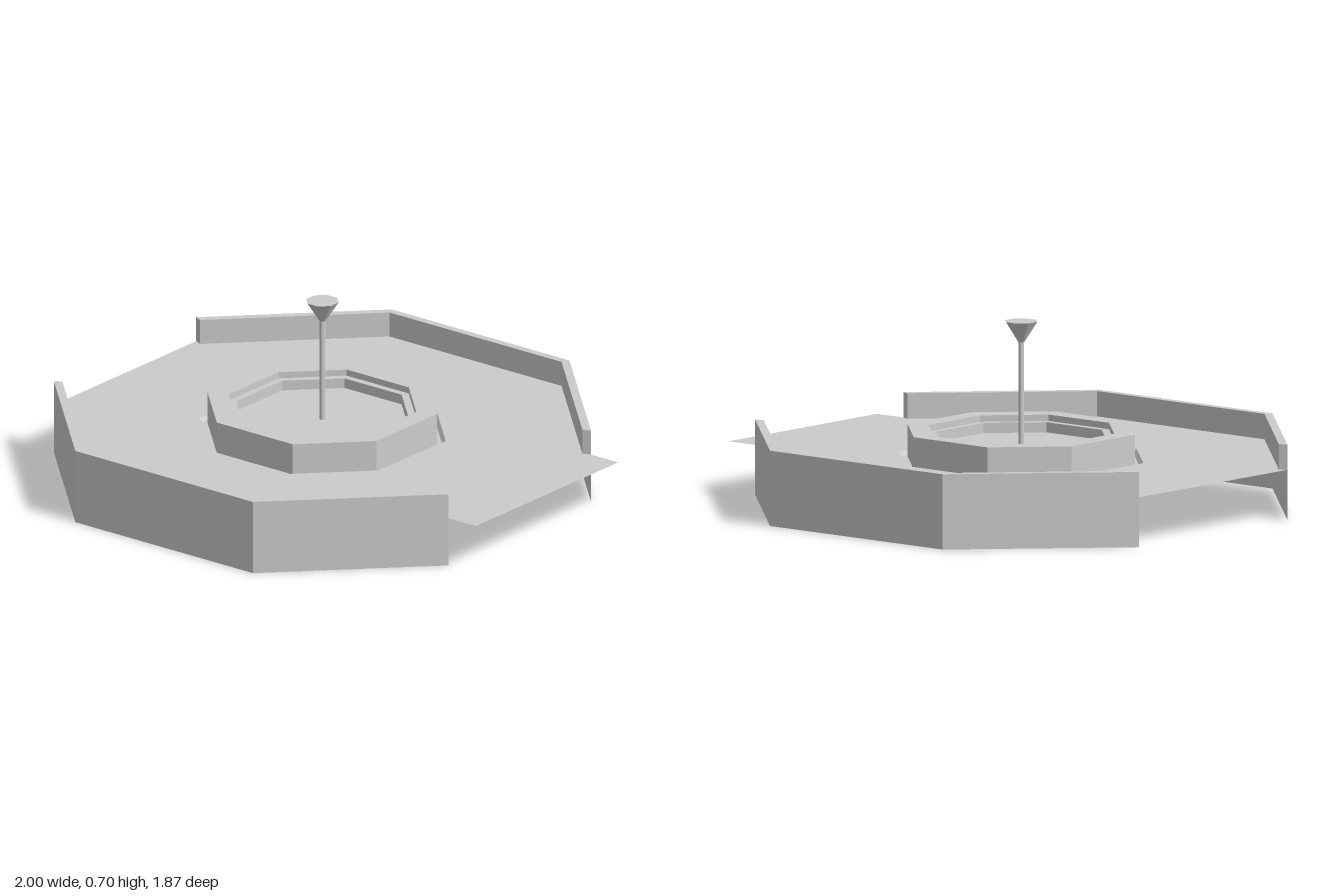
import * as THREE from 'three';

const CX = -0.065;        // centre of the octagons
const FLOOR = 0.187, WALL_TOP = 0.282, POOL = 0.23;
const OUTER = 0.936, INNER = 0.906;

const material = new THREE.MeshStandardMaterial({ color: 0xcccccc, flatShading: true, side: THREE.DoubleSide });

// Eight corners of an octagon with the given half width, at height y
function octagon(a, y) {
  const h = a * 0.45;
  return [[a, h], [h, a], [-h, a], [-a, h], [-a, -h], [-h, -a], [h, -a], [a, -h]]
    .map(([x, z]) => new THREE.Vector3(CX + x, y, z));
}

// Flat quads between successive rows of points
function skin(rows, closed) {
  const pos = [];
  for (let i = 0; i < rows.length - 1; i++) {
    const n = rows[i].length;
    for (let j = 0; j < (closed ? n : n - 1); j++) {
      const k = (j + 1) % n;
      const a = rows[i][j], b = rows[i][k], c = rows[i + 1][k], d = rows[i + 1][j];
      for (const p of [a, d, c, a, c, b]) pos.push(p.x, p.y, p.z);
    }
  }
  const geo = new THREE.BufferGeometry();
  geo.setAttribute('position', new THREE.Float32BufferAttribute(pos, 3));
  geo.computeVertexNormals();
  return geo;
}

// Horizontal sheet from an outline in x and z
function sheet(outline, y, hole) {
  const flat = pts => pts.map(p => new THREE.Vector2(p.x, -p.z));
  const shape = new THREE.Shape(flat(outline));
  if (hole) shape.holes.push(new THREE.Path(flat(hole)));
  return new THREE.ShapeGeometry(shape).rotateX(-Math.PI / 2).translate(0, y, 0);
}

export function createModel() {
  const group = new THREE.Group();
  const add = (name, geometry, parent = group) => {
    const mesh = new THREE.Mesh(geometry, material);
    mesh.name = name;
    parent.add(mesh);
    return mesh;
  };

  // Floor between the walls, with a ledge beyond the +x opening
  const edge = octagon(OUTER, FLOOR), inside = octagon(INNER, FLOOR);
  const ledgeZ = edge[0].z;
  add('floor', sheet([
    new THREE.Vector3(1, FLOOR, ledgeZ), edge[0], ...inside.slice(0, 4), edge[3],
    edge[4], ...inside.slice(4, 8), edge[7], new THREE.Vector3(1, FLOOR, -ledgeZ),
  ], FLOOR, octagon(0.43, FLOOR)));

  // Front and back parapet walls, open underneath, with closed ends
  const profile = [[OUTER, 0], [OUTER, WALL_TOP], [INNER, WALL_TOP], [INNER, FLOOR]];
  for (const [name, start] of [['frontWall', 0], ['backWall', 4]]) {
    const wall = new THREE.Group();
    wall.name = name;
    group.add(wall);
    add('wallFaces', skin(profile.map(([a, y]) => octagon(a, y).slice(start, start + 4)), false), wall);
    for (const i of [start, start + 3]) {
      add('wallEnd', skin([FLOOR, WALL_TOP].map(y => [octagon(OUTER, y)[i], octagon(INNER, y)[i]]), false), wall);
    }
  }

  // Basin: gutter, outer side, rim and stepped inner side
  const basin = [[0.43, FLOOR], [0.418, 0.171], [0.40, 0.171], [0.40, 0.292],
    [0.327, 0.292], [0.327, 0.268], [0.30, 0.268], [0.30, POOL]];
  add('basin', skin(basin.map(([a, y]) => octagon(a, y)), true));
  add('basinFloor', sheet(octagon(0.30, POOL), POOL));

  // Central pole with a flared head
  const pole = add('pole', new THREE.CylinderGeometry(0.011, 0.011, 0.62 - POOL, 8));
  pole.position.set(CX, (0.62 + POOL) / 2, 0);
  const head = add('poleHead', new THREE.CylinderGeometry(0.063, 0.012, 0.078, 8));
  head.position.set(CX, 0.659, 0);
  pole.rotation.y = head.rotation.y = Math.PI / 8;

  return group;
}
